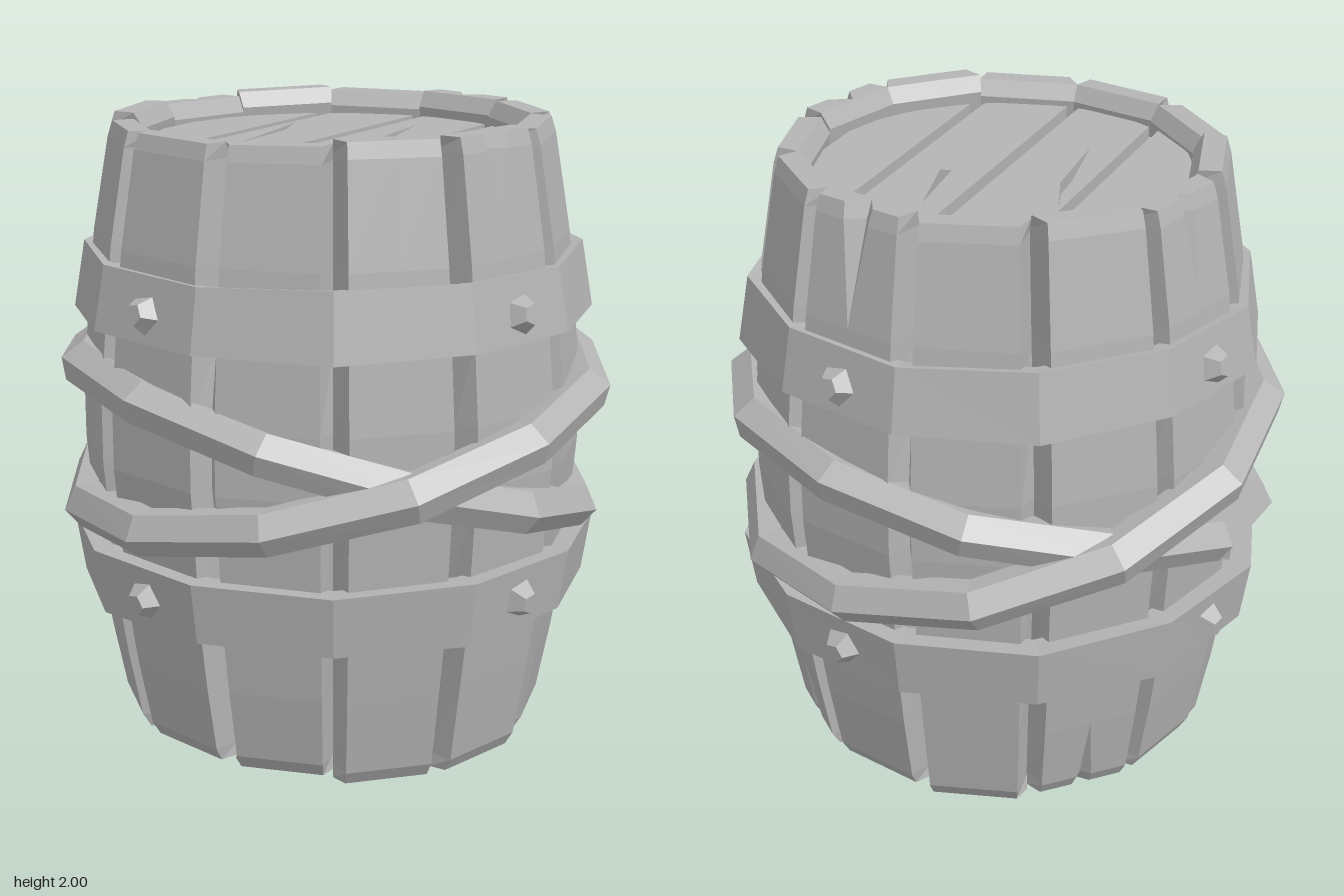
import * as THREE from 'three';

const wood = new THREE.MeshStandardMaterial({ color: 0xb4b4b4 });
wood.name = 'plain grey';

// Small seeded random, 0..1
let seed = 11;
const rnd = () => (seed = (seed * 16807) % 2147483647) / 2147483647;

// Mesh with faceted normals
function facet(geometry, name, parent) {
  const g = geometry.index ? geometry.toNonIndexed() : geometry;
  g.computeVertexNormals();
  const mesh = new THREE.Mesh(g, wood);
  mesh.name = name;
  parent.add(mesh);
  return mesh;
}

// Skin a stack of equal-length sections, capped by fans from the last point
function loft(rows) {
  const pos = [];
  const n = rows[0].length;
  const tri = (...p) => p.forEach((v) => pos.push(...v));
  for (let i = 0; i + 1 < rows.length; i++) {
    for (let j = 0; j < n; j++) {
      const k = (j + 1) % n;
      tri(rows[i][j], rows[i][k], rows[i + 1][k]);
      tri(rows[i][j], rows[i + 1][k], rows[i + 1][j]);
    }
  }
  const low = rows[0], top = rows[rows.length - 1];
  for (let j = 0; j + 2 < n; j++) {
    tri(low[n - 1], low[j + 1], low[j]);
    tri(top[n - 1], top[j], top[j + 1]);
  }
  const g = new THREE.BufferGeometry();
  g.setAttribute('position', new THREE.Float32BufferAttribute(pos, 3));
  return g;
}

// Barrel profile: height, outer radius, inner radius
const PROFILE = [
  [0, 0.645, 0.59], [0.045, 0.672, 0.575], [0.3, 0.715, 0.6], [0.48, 0.743, 0.64], [0.95, 0.783, 0.7],
  [1.15, 0.783, 0.7], [1.4, 0.762, 0.66], [1.63, 0.74, 0.62], [1.95, 0.69, 0.575], [2, 0.675, 0.605],
];

// One plank of the wall, with optional V-shaped splits (half width) at top and bottom
function stave(drop, lift, splitTop, splitBottom) {
  const width = 0.205 + rnd() * 0.022;
  const skew = (rnd() - 0.5) * 0.02;
  const tilt = (rnd() - 0.5) * 0.05;
  const rows = PROFILE.map(([y0, ro, ri], i) => {
    const end = i < 2 ? drop : i > 7 ? -lift : 0;
    const y = y0 + end;
    const n = y0 > 1.63 ? (splitTop * (y0 - 1.63)) / 0.35 : y0 < 0.3 ? (splitBottom * (0.3 - y0)) / 0.3 : 0;
    const h = ro * width;
    const hi = ri * 0.268;
    const slope = (x) => Math.min(2, Math.max(0, y + (i > 7 ? tilt * x : 0)));
    return [
      [-h, ro], [-n, ro], [0, ro - n * 1.1], [n, ro], [h, ro], [hi, ri], [-hi, ri], [0, ri],
    ].map(([x, z], j) => [x + (j < 5 ? skew : 0), slope(x), z]);
  });
  // keep the fan centre between the two inner corners
  rows.forEach((r) => { const c = r.pop(); r.splice(6, 0, c); });
  return loft(rows.map((r) => [r[7], ...r.slice(0, 7)]).map((r) => [...r.slice(1), r[0]]).map((r) => {
    // start after the inner centre so it closes the loop
    return [r[7], ...r.slice(0, 7)];
  }));
}

// Round head made of four boards with gaps and a backing disc
function head(name) {
  const group = new THREE.Group();
  group.name = name;
  const R = 0.585;
  const cracks = {
    1: [[-0.25, 0.19], [0.25, 0.28], [0.07, 0.215]],
    2: [[0.1, -0.13], [0.38, -0.1], [0.11, -0.165]],
  };
  const edges = [[0.335, R - 0.01], [0.02, 0.295], [-0.285, -0.02], [-R + 0.01, -0.325]];
  edges.forEach(([b0, b1], i) => {
    const pts = [];
    const a0 = Math.asin(b0 / R), a1 = Math.asin(b1 / R);
    for (let k = 0; k <= 4; k++) {
      const a = a0 + ((a1 - a0) * k) / 4;
      pts.push(new THREE.Vector2(R * Math.cos(a), R * Math.sin(a)));
    }
    const mirrored = pts.map((p) => new THREE.Vector2(-p.x, p.y)).reverse();
    const shape = new THREE.Shape([...pts, ...mirrored]);
    if (cracks[i]) shape.holes.push(new THREE.Path(cracks[i].map((p) => new THREE.Vector2(...p))));
    const g = new THREE.ExtrudeGeometry(shape, { depth: 0.045, bevelEnabled: false });
    g.rotateX(-Math.PI / 2).rotateY(Math.PI / 4);
    facet(g, 'headBoard', group);
  });
  const disc = new THREE.CylinderGeometry(0.6, 0.6, 0.03, 24);
  facet(disc.translate(0, -0.01, 0), 'headBacking', group);
  return group;
}

// Ring swept from a closed (radius, height) section, slightly uneven
function ring(section, start, wobble) {
  const pts = [...section, section[0]].map(([r, y]) => new THREE.Vector2(r, y));
  const g = new THREE.LatheGeometry(pts, 12, start);
  const p = g.attributes.position;
  for (let i = 0; i < p.count; i++) {
    const a = Math.atan2(p.getX(i), p.getZ(i));
    const s = 1 + wobble * Math.sin(5 * a + 1);
    p.setXYZ(i, p.getX(i) * s, p.getY(i) + wobble * Math.sin(4 * a + p.getY(i) * 9), p.getZ(i) * s);
  }
  return g;
}

export function createModel() {
  const model = new THREE.Group();
  model.name = 'barrel';

  // Wall staves
  const splitsTop = { 1: 0.05, 4: 0.05, 7: 0.03 };
  const splitsBottom = { 3: 0.04, 6: 0.03 };
  const drops = { 0: 0, 1: 0, 5: 0.005 };
  for (let i = 0; i < 12; i++) {
    const drop = drops[i] ?? 0.025 + rnd() * 0.015;
    const lift = i === 0 ? 0 : rnd() * 0.025;
    const g = stave(drop, lift, splitsTop[i] || 0, splitsBottom[i] || 0);
    facet(g, 'stave', model).rotation.y = (i * Math.PI) / 6;
  }

  // Top and bottom heads
  const lid = head('topHead');
  lid.position.y = 1.87;
  const base = head('bottomHead');
  base.rotation.x = Math.PI;
  base.position.y = 0.14;
  model.add(lid, base);

  // Flat bands, faces aligned with the staves
  const c = Math.cos(Math.PI / 12);
  const bands = [
    ['upperBand', [[0.72, 1.38], [0.805, 1.38], [0.77, 1.585], [0.71, 1.575]]],
    ['lowerBand', [[0.71, 0.48], [0.795, 0.48], [0.825, 0.68], [0.72, 0.67]]],
  ];
  for (const [name, section] of bands) {
    facet(ring(section.map(([r, y]) => [r / c, y]), Math.PI / 12, 0.006), name, model);
  }

  // Five-sided rivets, four on each band
  for (const [y, r, lean] of [[1.47, 0.79, -0.17], [0.575, 0.81, 0.14]]) {
    for (let i = 0; i < 4; i++) {
      const pivot = new THREE.Group();
      pivot.name = 'rivet';
      pivot.rotation.y = Math.PI / 6 + (i * Math.PI) / 2;
      const g = new THREE.CylinderGeometry(0.034, 0.072, 0.06, 5);
      const stud = facet(g.rotateX(Math.PI / 2).rotateZ(0.2), 'rivetHead', pivot);
      stud.position.set(0, y, r + 0.015);
      stud.rotation.x = lean;
      model.add(pivot);
    }
  }

  // Two crossed, tilted hoops
  const hoop = [[0.8, -0.06], [0.885, -0.065], [0.918, 0.0], [0.865, 0.065], [0.79, 0.055]];
  for (const [name, tilt, z] of [['risingHoop', 0.245, 0.025], ['fallingHoop', -0.295, -0.025]]) {
    const mesh = facet(ring(hoop, 0, 0.004), name, model);
    mesh.rotation.z = tilt;
    mesh.position.set(0, 0.985, z);
  }
  return model;
}
